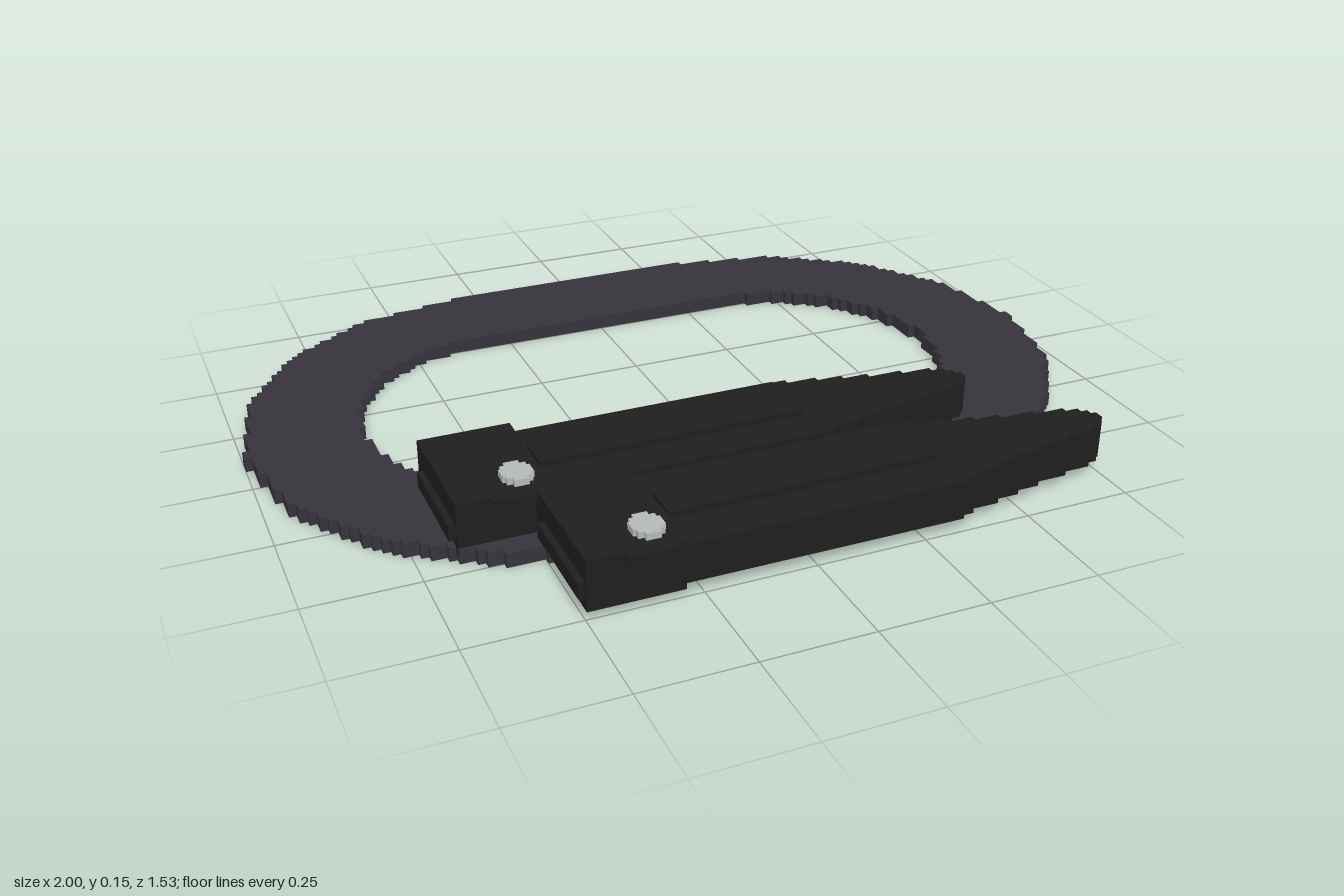
import * as THREE from 'three';

const belt = new THREE.MeshStandardMaterial({ name: 'beltCharcoal', color: 0x36343b });
const leather = new THREE.MeshStandardMaterial({ name: 'sheathBlack', color: 0x1f1f1f });
const metal = new THREE.MeshStandardMaterial({ name: 'snapGrey', color: 0xb6bbb9 });

// Turns an outline of [x, z] points into an upright slab between two heights
function slab(name, points, y0, y1, material, hole) {
  const toVec = ([x, z]) => new THREE.Vector2(x, -z);
  const shape = new THREE.Shape(points.map(toVec));
  // The hole runs opposite to the outline so its walls face inwards
  if (hole) shape.holes.push(new THREE.Path(hole.map(toVec).reverse()));
  const geo = new THREE.ExtrudeGeometry(shape, { depth: y1 - y0, bevelEnabled: false });
  geo.rotateX(-Math.PI / 2);
  geo.translate(0, y0, 0);
  const mesh = new THREE.Mesh(geo, material);
  mesh.name = name;
  return mesh;
}

// Box given by its limits
function block(name, x0, x1, y0, y1, z0, z1, material) {
  const mesh = new THREE.Mesh(new THREE.BoxGeometry(x1 - x0, y1 - y0, z1 - z0), material);
  mesh.position.set((x0 + x1) / 2, (y0 + y1) / 2, (z0 + z1) / 2);
  mesh.name = name;
  return mesh;
}

// Reach of a 16-sided half-round end of radius r at distance d from its axis
function facetReach(r, d) {
  const step = Math.PI / 8;
  const i = Math.min(3, Math.floor(Math.asin(Math.min(1, d / r)) / step));
  const z0 = r * Math.sin(i * step), z1 = r * Math.sin((i + 1) * step);
  const x0 = r * Math.cos(i * step), x1 = r * Math.cos((i + 1) * step);
  return x0 + (x1 - x0) * (d - z0) / (z1 - z0);
}

// Stair-stepped oval; edge 1 measures each row at its far edge, 0 at its near edge
function steppedOval(rows, edge) {
  const unit = 1 / 60, straight = 1 / 3, cz = -0.1;
  const quarter = [];
  let lastX = null;
  for (let i = 0; i < rows; i++) {
    const reach = straight + facetReach(rows * unit, (i + edge) * unit);
    const x = Math.floor(reach / unit + 0.3) * unit;
    if (lastX !== null && x !== lastX) quarter.push([lastX, i * unit], [x, i * unit]);
    lastX = x;
  }
  quarter.push([lastX, rows * unit]);
  const flip = (sx, sz) => quarter.map(([x, z]) => [sx * x, cz + sz * z]);
  return [...flip(1, 1), ...flip(-1, 1).reverse(), ...flip(-1, -1), ...flip(1, -1).reverse()];
}

// Stepped taper: distance along the tip where each step ends, and its half width
const tipSteps = [
  [0.03, 0.13], [0.1, 0.115], [0.16, 0.1], [0.22, 0.086],
  [0.3, 0.071], [0.37, 0.057], [0.4, 0.043], [0.415, 0.028], [0.427, 0.012],
];

function sheath(dx, cz, halfWidth) {
  const group = new THREE.Group();
  group.name = 'sheath';
  const end = 0.17;
  // Body with a narrowing tip
  const edge = [[-0.46, halfWidth], [end, halfWidth]];
  let from = end;
  for (const [length, half] of tipSteps) {
    edge.push([from, half], [end + length, half]);
    from = end + length;
  }
  const outline = [...edge, ...edge.slice().reverse().map(([x, z]) => [x, -z])];
  group.add(slab('sheathBody', outline, 0.03, 0.12, leather));
  group.add(block('tipSole', 0.41, 0.58, 0.02, 0.03, -0.026, 0.026, leather));
  // Raised centre strip
  group.add(block('centreStrip', -0.455, 0.16, 0.12, 0.135, -0.042, 0.042, leather));
  // Handle cover with its rear tab and side lip
  group.add(block('cover', -0.668, -0.46, 0.02, 0.135, -0.147, 0.147, leather));
  group.add(block('rearTab', -0.683, -0.668, 0.05, 0.085, -0.1, 0.14, leather));
  group.add(block('coverLip', -0.59, -0.47, 0.117, 0.132, 0.147, 0.16, leather));
  // Snap button made of crossed blocks
  const snap = new THREE.Group();
  snap.name = 'snapButton';
  snap.add(block('snapLong', -0.016, 0.016, 0.135, 0.15, -0.04, 0.04, metal));
  snap.add(block('snapWide', -0.034, 0.034, 0.135, 0.15, -0.016, 0.016, metal));
  snap.add(block('snapCentre', -0.028, 0.028, 0.135, 0.15, -0.028, 0.028, metal));
  snap.position.set(-0.519, 0, 0.084);
  group.add(snap);
  group.position.set(dx, 0, cz);
  return group;
}

export function createModel() {
  const model = new THREE.Group();
  model.name = 'beltWithSheaths';
  // Belt ring
  model.add(slab('belt', steppedOval(40, 1), 0, 0.033, belt, steppedOval(24, 0)));
  // Two sheaths side by side
  model.add(sheath(0, 0.313, 0.134), sheath(0.17, 0.607, 0.142));
  return model;
}
